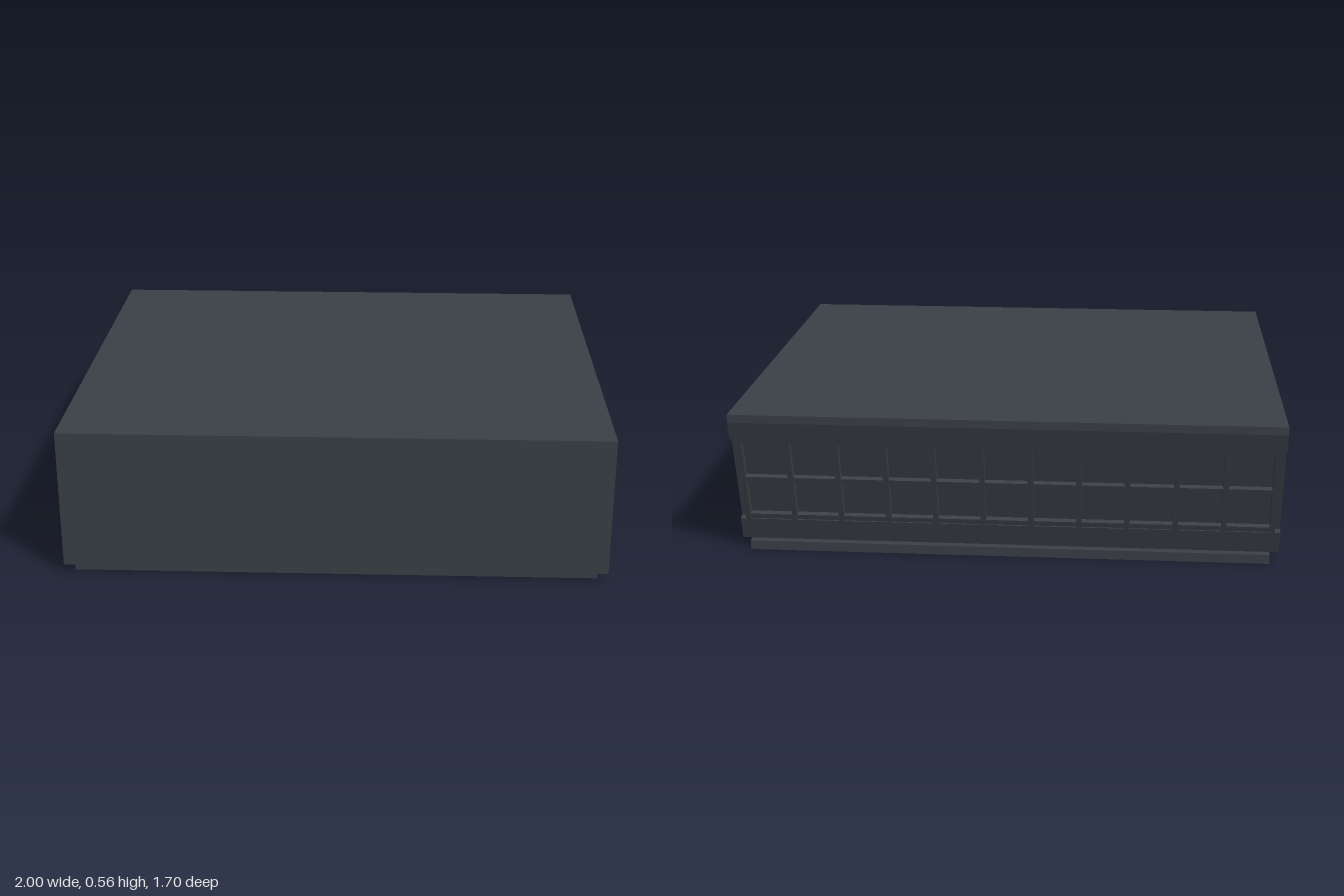
import * as THREE from 'three';

const H = 0.56, BASE = 0.035, W = 1, FRONT = 0.85, WALL = 0.04;
const SLOPE = Math.atan2(0.13, 0.495);
// distance behind centre of the leaning rear wall at height y
const rear = y => 0.72 + 0.13 * (y - BASE) / 0.495;

export function createModel() {
  const root = new THREE.Group();
  const charcoal = new THREE.MeshStandardMaterial({ color: 0x3a4047 });
  charcoal.name = 'charcoal';

  const add = (name, geo, parent = root) => {
    const mesh = new THREE.Mesh(geo, charcoal);
    mesh.name = name;
    parent.add(mesh);
    return mesh;
  };
  const box = (name, w, h, d, x, y, z, parent) => {
    const m = add(name, new THREE.BoxGeometry(w, h, d), parent);
    m.position.set(x, y, z);
    return m;
  };
  const shapeOf = pts => new THREE.Shape(pts.map(p => new THREE.Vector2(...p)));
  const extrude = (shape, depth) => new THREE.ExtrudeGeometry(shape, { depth, bevelEnabled: false });
  // cross-section given as (distance to the rear, height), run along x
  const runAlongX = (pts, x0, x1) =>
    extrude(shapeOf(pts), x1 - x0).rotateY(Math.PI / 2).translate(x0, 0, 0);

  // Rear edge, bottom to top, with the window recess
  const inset = (y, d) => [rear(y) - d * Math.cos(SLOPE), y + d * Math.sin(SLOPE)];
  const recess = 0.025;
  const rearEdge = [
    [rear(BASE), BASE], [rear(0.12), 0.12], inset(0.12, recess),
    inset(0.46, recess), [rear(0.46), 0.46], [0.85, 0.53], [0.85, H],
  ];

  // Side walls
  for (const s of [-1, 1]) {
    const x0 = s > 0 ? W - WALL : -W;
    add(s > 0 ? 'leftWall' : 'rightWall',
      runAlongX([[-FRONT, BASE], ...rearEdge, [-FRONT, H]], x0, x0 + WALL));
  }

  // Roof and leaning rear wall in one section
  add('roofAndRearWall', runAlongX([
    ...rearEdge, [-FRONT, H], [-FRONT, H - WALL],
    [rear(H - WALL) - 0.06, H - WALL], [rear(BASE) - 0.06, BASE],
  ], -W + WALL, W - WALL));

  // Front wall with a doorway, and the door set back in it
  add('frontWall', extrude(shapeOf([
    [-W + WALL, BASE], [-0.1, BASE], [-0.1, 0.295], [0.1, 0.295],
    [0.1, BASE], [W - WALL, BASE], [W - WALL, H - WALL], [-W + WALL, H - WALL],
  ]), WALL).translate(0, 0, FRONT - WALL));
  box('door', 0.2, 0.26, 0.02, 0, 0.165, FRONT - 0.025);

  // Base slab with two stair openings
  const slab = shapeOf([[-0.965, -0.82], [0.965, -0.82], [0.965, 0.75], [-0.965, 0.75]]);
  const hx0 = 0.34, hx1 = 0.7, hz = 0.335;
  for (const s of [-1, 1]) {
    const hole = new THREE.Path();
    [[hx0, -hz], [hx1, -hz], [hx1, hz], [hx0, hz]].forEach(([x, z], i) =>
      i ? hole.lineTo(s * x, z) : hole.moveTo(s * x, z));
    hole.closePath();
    slab.holes.push(hole);
  }
  add('baseSlab', extrude(slab, BASE).rotateX(-Math.PI / 2));

  // Railings around the openings
  for (const s of [-1, 1]) {
    const rail = new THREE.Group();
    rail.name = s > 0 ? 'leftRailing' : 'rightRailing';
    root.add(rail);
    for (const y of [0.1, 0.16]) {
      for (const x of [hx0 - 0.01, hx1 + 0.01])
        box('railBar', 0.012, 0.012, 2 * hz, s * x, y, 0, rail);
      box('railBar', hx1 - hx0 + 0.02, 0.012, 0.012, s * (hx0 + hx1) / 2, y, hz + 0.01, rail);
    }
    for (let i = 0; i < 5; i++)
      for (const x of [hx0 - 0.01, hx1 + 0.01])
        box('railPost', 0.014, 0.13, 0.014, s * x, BASE + 0.065, -hz + i * hz / 2, rail);
  }

  // Window grid lying in the recess of the leaning wall
  const grid = new THREE.Group();
  grid.name = 'windowGrid';
  grid.position.set(0, 0.29, -rear(0.29));
  grid.rotation.x = -SLOPE;
  root.add(grid);
  const len = 0.34 / Math.cos(SLOPE), columns = 11, half = 0.98;
  for (let i = 0; i <= columns; i++)
    box('mullion', 0.02, len, recess, -half + 0.01 + i * (2 * half - 0.02) / columns, 0, recess / 2, grid);
  for (const t of [-1, 0, 1])
    box('crossbar', 2 * half, 0.02, recess - 0.004, 0, t * (len / 2 - 0.01), recess / 2 + 0.002, grid);

  return root;
}
